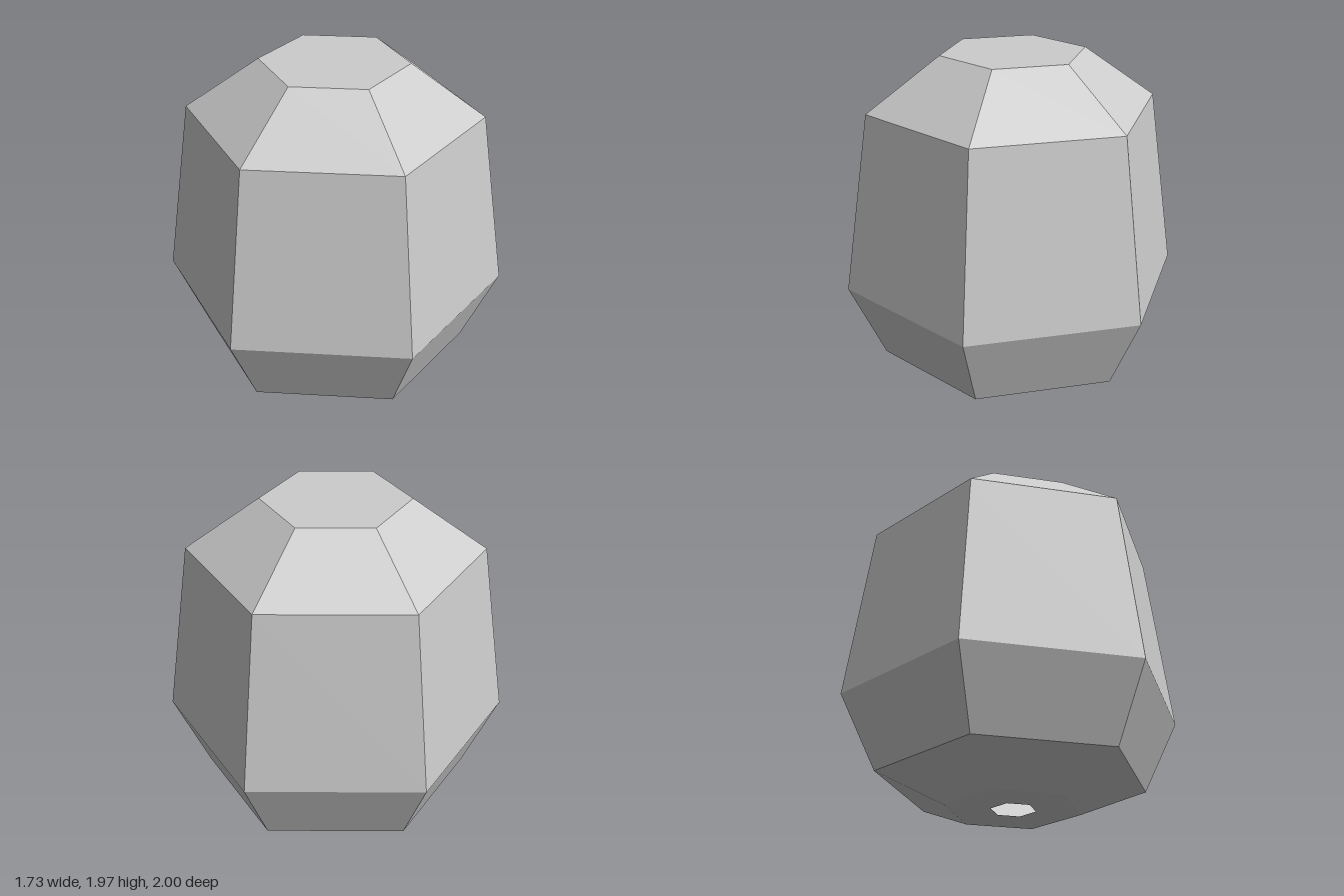
import * as THREE from 'three';

export function createModel() {
  const group = new THREE.Group();
  group.name = 'facetedStone';

  // One grey, seen from both sides because the base is open
  const grey = new THREE.MeshStandardMaterial({
    name: 'stone grey', color: 0xcccccc, flatShading: true, side: THREE.DoubleSide,
  });

  // Six-sided shell: [radius, height] from the rim of the base hole to the closed top
  const profile = [
    [0.13, 0], [0.393, 0], [0.79, 0.165], [1, 0.603],
    [0.85, 1.657], [0.425, 1.965], [0, 1.965],
  ].map(([r, y]) => new THREE.Vector2(r, y));

  const shellGeometry = new THREE.LatheGeometry(profile, 6).toNonIndexed();
  shellGeometry.computeVertexNormals();

  const shell = new THREE.Mesh(shellGeometry, grey);
  shell.name = 'shell';
  group.add(shell);
  return group;
}
